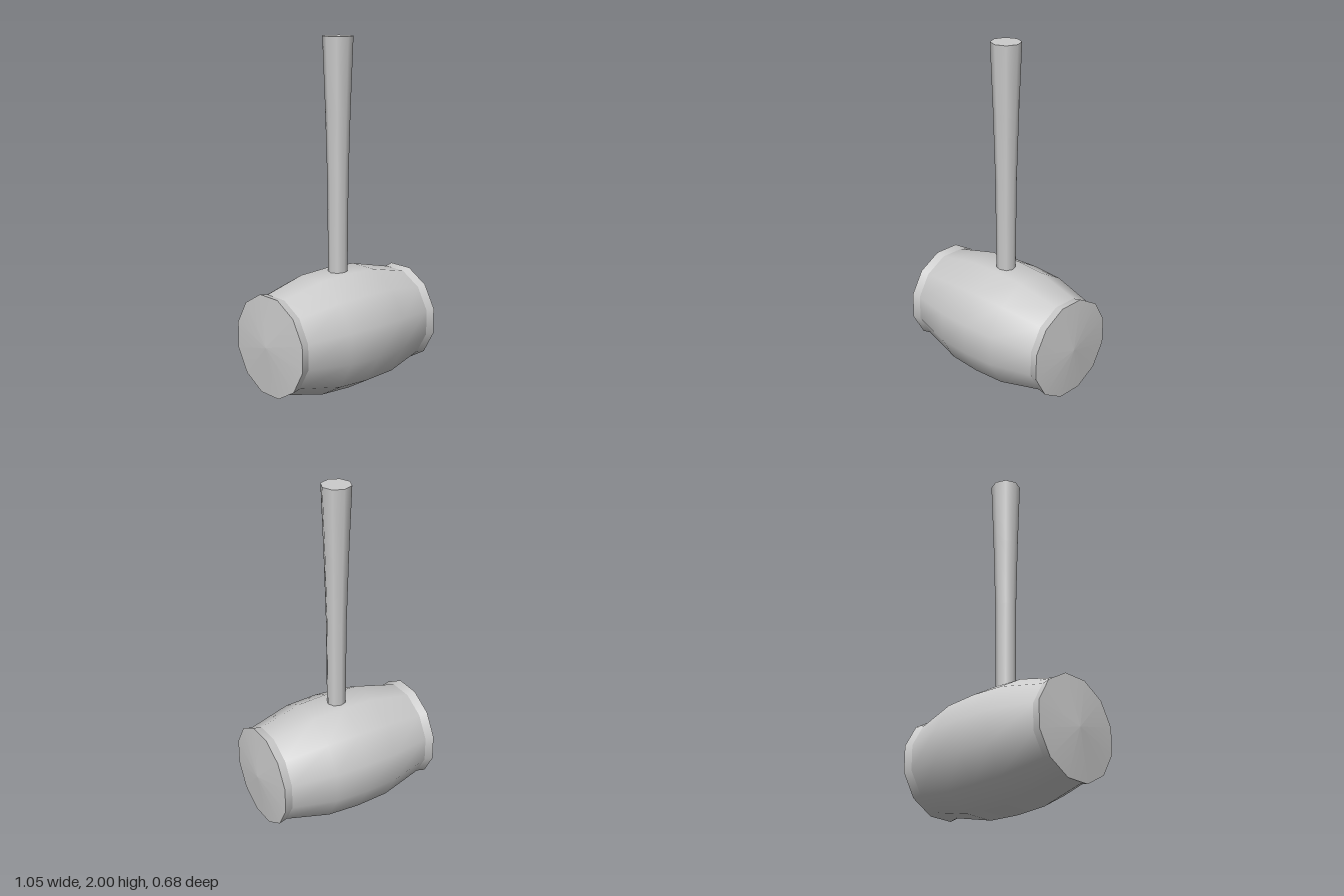
import * as THREE from 'three';

const material = new THREE.MeshStandardMaterial({ color: 0xcccccc });

// Turned piece: profile points are [radius, height], listed upwards
function turned(name, profile, sides, start = 0) {
  const points = profile.map(([r, y]) => new THREE.Vector2(r, y));
  const mesh = new THREE.Mesh(new THREE.LatheGeometry(points, sides, start), material);
  mesh.name = name;
  return mesh;
}

export function createModel() {
  const model = new THREE.Group();
  model.name = 'mallet';

  // Barrel-shaped head, turned around y and then laid along x with a flat side up
  const head = new THREE.Group();
  head.name = 'head';
  const sides = 12, start = Math.PI / sides;
  const body = [[0.28, 0.45], [0.342, 0.195], [0.351, 0]];
  head.add(turned('barrel', [
    ...body.map(([r, y]) => [r, -y]),
    ...body.slice(0, 2).reverse(),
  ], sides, start));

  // Flared rim and shallow striking face at each end
  for (const [side, flip] of [['left', 0], ['right', Math.PI]]) {
    const end = new THREE.Group();
    end.name = side + 'End';
    end.add(
      turned('rim', [[0.28, 0.45], [0.291, 0.5]], sides, start),
      turned('strikingFace', [[0.291, 0.5], [0, 0.526]], sides, start),
    );
    end.rotation.x = flip;
    head.add(end);
  }
  head.rotation.z = -Math.PI / 2;
  head.position.y = 0.342;
  model.add(head);

  // Eight-sided handle, widening towards the grip end
  const handle = new THREE.Group();
  handle.name = 'handle';
  handle.add(turned('shaft', [[0.055, 0.64], [0.059, 1.2], [0.07, 1.6], [0.085, 2]], 8));
  const top = turned('gripEnd', [[0.085, 2], [0, 2]], 8);
  handle.add(top);
  model.add(handle);

  return model;
}
